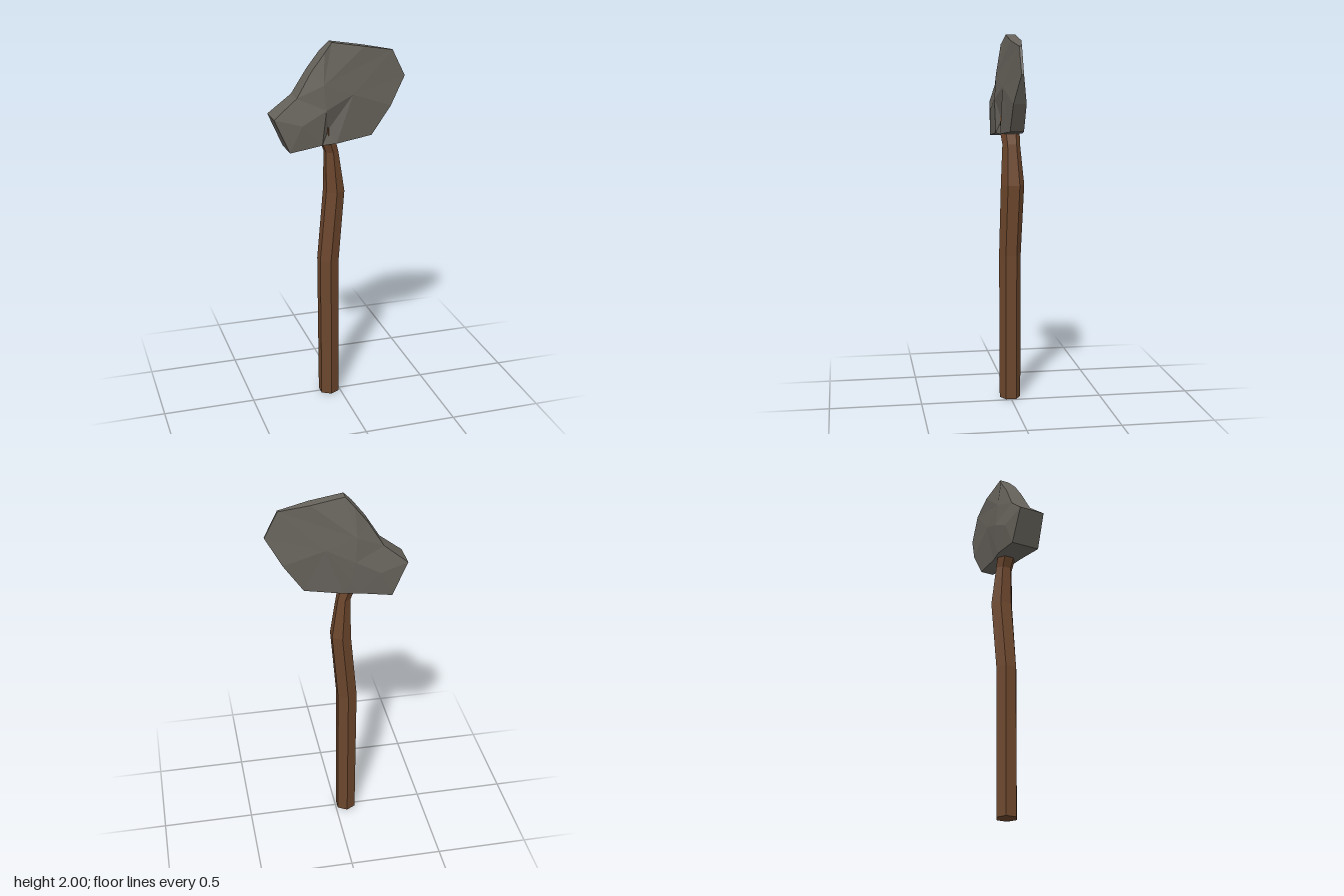
import * as THREE from 'three';

const stone = new THREE.MeshStandardMaterial({ color: 0x66625b });
stone.name = 'grey stone';
const wood = new THREE.MeshStandardMaterial({ color: 0x6b462c });
wood.name = 'brown wood';

// Unshared vertices give every facet its own flat normal
function facetedMesh(name, points, index, material) {
  let g = new THREE.BufferGeometry();
  g.setAttribute('position', new THREE.Float32BufferAttribute(points.flat(), 3));
  g.setIndex(index);
  g = g.toNonIndexed();
  g.computeVertexNormals();
  const mesh = new THREE.Mesh(g, material);
  mesh.name = name;
  return mesh;
}

// Crooked six-sided shaft: [centre x, y, centre z, radius x, radius z]
function createHandle() {
  const rings = [
    [-0.06, 0, 0, 0.058, 0.058],
    [-0.062, 0.81, 0, 0.06, 0.06],
    [-0.026, 1.2, -0.009, 0.058, 0.064],
    [-0.042, 1.42, -0.004, 0.039, 0.048],
    [-0.066, 1.49, 0.0, 0.045, 0.054],
    [-0.076, 1.57, 0.025, 0.014, 0.026],
  ];
  const points = [], index = [];
  rings.forEach(([x, y, z, rx, rz], r) => {
    for (let i = 0; i < 6; i++) {
      const a = i * Math.PI / 3;
      points.push([x + rx * Math.sin(a), y, z + rz * Math.cos(a)]);
      if (r === 0) continue;
      const p = (r - 1) * 6, j = (i + 1) % 6;
      index.push(p + i, p + j, p + 6 + j, p + i, p + 6 + j, p + 6 + i);
    }
  });
  // End caps
  const top = (rings.length - 1) * 6;
  for (let i = 1; i < 5; i++) index.push(0, i + 1, i, top, top + i, top + i + 1);
  return facetedMesh('handle', points, index, wood);
}

// Chipped stone head: one faceted cheek, mirrored, joined by a rim wall
function createHead() {
  const rim = [ // x, y, half thickness, anticlockwise from the blade tip
    [0.36, 1.80, 0.006], [0.29, 1.94, 0.007], [0.13, 1.97, 0.027],
    [-0.045, 2.0, 0.025], [-0.09, 1.95, 0.045], [-0.16, 1.86, 0.046],
    [-0.24, 1.73, 0.056], [-0.365, 1.63, 0.07], [-0.285, 1.45, 0.077],
    [-0.11, 1.475, 0.07], [-0.03, 1.475, 0.058], [0.17, 1.50, 0.035],
    [0.275, 1.65, 0.034],
  ];
  const inner = [ // poll bulge, hub, upper cheek, blade cheek, handle notch
    [-0.22, 1.59, 0.086], [-0.09, 1.66, 0.08], [-0.10, 1.79, 0.07],
    [0.06, 1.73, 0.058], [-0.07, 1.55, 0.043],
  ];
  const cheek = [
    [7, 8, 13], [8, 9, 13], [13, 9, 14], [9, 17, 14], [9, 10, 17], [10, 16, 17], [17, 16, 14],
    [10, 11, 16], [11, 12, 16], [12, 0, 16], [0, 1, 16], [1, 15, 16], [1, 2, 15],
    [2, 3, 15], [3, 4, 15], [4, 5, 15], [5, 6, 15], [6, 14, 15], [14, 16, 15],
    [6, 13, 14], [6, 7, 13],
  ];
  const front = [...rim, ...inner], n = front.length;
  const back = front.map(([x, y, z], i) => [x, y, i === 17 ? -0.075 : -z - (x < 0.2 ? 0.003 : 0)]);
  const index = [];
  for (const [a, b, c] of cheek) index.push(a, b, c, n + a, n + c, n + b);
  rim.forEach((_, i) => {
    const j = (i + 1) % rim.length;
    index.push(i, n + i, n + j, i, n + j, j);
  });
  return facetedMesh('stoneHead', [...front, ...back], index, stone);
}

export function createModel() {
  const group = new THREE.Group();
  group.name = 'stoneAxe';
  group.add(createHandle(), createHead());
  return group;
}
